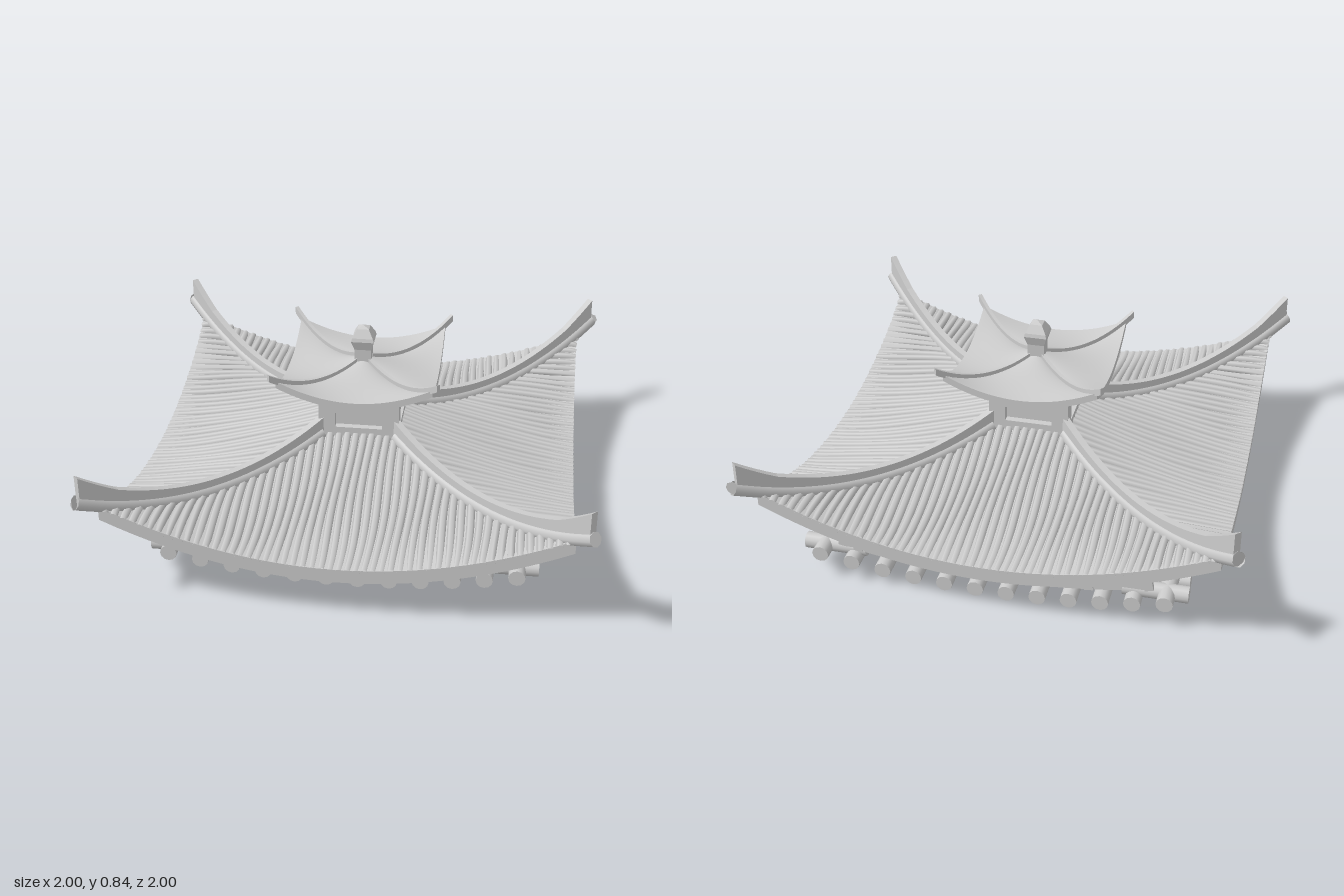
import * as THREE from 'three';

const grey = new THREE.MeshStandardMaterial({ color: 0xcccccc, side: THREE.DoubleSide });
const flat = new THREE.MeshStandardMaterial({ color: 0xcccccc, flatShading: true });
const lerp = THREE.MathUtils.lerp;

function add(parent, name, geometry, material = grey) {
  const mesh = new THREE.Mesh(geometry, material);
  mesh.name = name;
  parent.add(mesh);
  return mesh;
}

// Surface from a rule fn(u, v), u and v in 0..1
function grid(nu, nv, fn) {
  const pos = [], idx = [];
  for (let j = 0; j <= nv; j++) for (let i = 0; i <= nu; i++) pos.push(...fn(i / nu, j / nv));
  for (let j = 0; j < nv; j++) for (let i = 0; i < nu; i++) {
    const a = j * (nu + 1) + i, c = a + nu + 1;
    idx.push(a, c, a + 1, a + 1, c, c + 1);
  }
  const g = new THREE.BufferGeometry();
  g.setAttribute('position', new THREE.Float32BufferAttribute(pos, 3));
  g.setIndex(idx);
  g.computeVertexNormals();
  return g;
}

// Shape between a lower and an upper curve
function bandShape(x0, x1, low, high, n = 28) {
  const pts = [];
  for (let i = 0; i <= n; i++) { const x = lerp(x0, x1, i / n); pts.push(new THREE.Vector2(x, low(x))); }
  for (let i = n; i >= 0; i--) { const x = lerp(x0, x1, i / n); pts.push(new THREE.Vector2(x, high(x))); }
  return new THREE.Shape(pts);
}

const extrude = (shape, depth) => new THREE.ExtrudeGeometry(shape, { depth, bevelEnabled: false });

// One quarter of a swept roof: top, eave board and vaulted underside (facing +z)
function roofSide(parent, r, name) {
  const y = (s, t) => r.mid(s) + (r.hip(s) - r.mid(s)) * t * t;
  add(parent, name + 'Top', grid(28, 14, (u, v) => {
    const s = lerp(r.inner, r.outer, v), t = 2 * u - 1;
    return [s * t, y(s, t), s];
  }));
  add(parent, name + 'EaveBoard', grid(28, 1, (u, v) => {
    const t = 2 * u - 1;
    return [r.outer * t, y(r.outer, t) - v * r.thick, r.outer];
  }));
  add(parent, name + 'Underside', grid(28, 10, (u, v) => {
    const s = lerp(r.outer, 0.02, v), x = s * (2 * u - 1);
    return [x, y(r.outer, x / r.outer) - r.thick, s];
  }));
  return y;
}

// Crest standing along one diagonal
function hipCrest(parent, name, s0, s1, low, high, width) {
  const q = Math.SQRT2;
  const g = extrude(bandShape(s0 * q, s1 * q, d => low(d / q), d => high(d / q)), width);
  g.translate(0, 0, -width / 2).rotateY(-Math.PI / 4);
  add(parent, name, g, flat);
}

const lower = {
  inner: 0.15, outer: 0.91, thick: 0.058,
  mid: s => 0.223 + 0.177 * Math.pow(Math.max(0, 0.91 - s) / 0.74, 1.5),
  hip: s => 0.31 + 0.73 * (s - 0.5) ** 2,
};
const upper = {
  inner: 0.02, outer: 0.32, thick: 0.03,
  mid: s => 0.634 + 0.05 * Math.pow(Math.max(0, 0.32 - s) / 0.27, 1.5),
  hip: s => 0.648 + 2.3 * (s - 0.15) ** 2,
};

function roofTiles(parent, y) {
  const count = 52;
  for (let i = 0; i < count; i++) {
    const x = 0.885 * (2 * i / (count - 1) - 1);
    const s0 = Math.max(0.16, Math.abs(x) + 0.005), pts = [];
    for (let k = 0; k <= 8; k++) {
      const s = lerp(s0, 0.91, k / 8);
      // slight hand-laid waviness, shared by neighbours
      const wobble = 0.005 * Math.sin(i * 0.5 + s * 9) * Math.min(1, (0.9 - Math.abs(x)) * 5);
      const sink = 0.002 - 0.012 * (k / 8) ** 3 + 0.002 * Math.sin(i * 2.4);
      pts.push(new THREE.Vector3(x + wobble, y(s, Math.min(1, Math.abs(x) / s)) + sink, s));
    }
    add(parent, 'roofTile', new THREE.TubeGeometry(new THREE.CatmullRomCurve3(pts), 10, 0.016, 6));
  }
}

function lowerHip(parent) {
  const top = s => 0.375 + 0.9 * (s - 0.5) ** 2 + 0.2 * Math.max(0, s - 0.85);
  hipCrest(parent, 'hipCrest', 0.15, 0.965, s => lower.hip(s) - 0.01, top, 0.03);
  // Round ridge log with capped end
  const pts = [];
  for (let i = 0; i <= 10; i++) {
    const s = lerp(0.16, 0.975, i / 10);
    pts.push(new THREE.Vector3(s, lower.hip(s) + 0.01, s));
  }
  add(parent, 'hipRidge', new THREE.TubeGeometry(new THREE.CatmullRomCurve3(pts), 24, 0.03, 8));
  const cap = add(parent, 'hipRidgeEnd', new THREE.CircleGeometry(0.03, 8));
  cap.position.copy(pts[10]);
  cap.lookAt(pts[10].clone().multiplyScalar(2).sub(pts[9]));
}

function eaveFrame(parent) {
  // Bowed beam with small blocks on its face
  const low = x => 0.075 + 0.065 * (x / 0.64) ** 2;
  const beam = extrude(bandShape(-0.64, 0.64, low, x => low(x) + 0.085, 16), 0.09);
  add(parent, 'eaveBeam', beam.translate(0, 0, 0.64), flat);
  for (let i = 0; i < 6; i++) {
    const x = -0.55 + 0.235 * i;
    const block = add(parent, 'beamBlock', new THREE.BoxGeometry(0.036, 0.08, 0.02), flat);
    block.position.set(x, low(x) + 0.042, 0.728);
    block.rotation.z = Math.atan(0.13 * x / 0.64 ** 2);
  }
  // Short log rafters rising toward the corners
  for (let i = 0; i < 12; i++) {
    const t = 2 * i / 11 - 1;
    const log = add(parent, 'rafterLog', new THREE.CylinderGeometry(0.034, 0.034, 0.26, 12));
    log.rotation.x = Math.PI / 2;
    log.position.set(0.7 * t, 0.035 + 0.085 * t * t, 0.625 + 0.03 * t * t);
  }
}

function towerWall(parent) {
  const rect = (w, y0, y1, Type) => new Type([[-w, y0], [w, y0], [w, y1], [-w, y1]].map(p => new THREE.Vector2(...p)));
  const wall = rect(0.17, 0.36, 0.63, THREE.Shape);
  wall.holes.push(rect(0.1, 0.44, 0.505, THREE.Path));
  add(parent, 'towerWall', extrude(wall, 0.03).translate(0, 0, 0.14), flat);
}

export function createModel() {
  const model = new THREE.Group();
  model.name = 'pavilionRoof';

  // The timber frame sits slightly toward the back
  const frame = new THREE.Group();
  frame.name = 'timberFrame';
  frame.position.z = -0.056;
  model.add(frame);

  // Everything that repeats on the four sides
  for (let k = 0; k < 4; k++) {
    const [side, frameSide] = [[model, 'roofQuarter'], [frame, 'frameQuarter']].map(([parent, name]) => {
      const group = new THREE.Group();
      group.name = name;
      group.rotation.y = k * Math.PI / 2;
      parent.add(group);
      return group;
    });
    roofTiles(side, roofSide(side, lower, 'lowerRoof'));
    lowerHip(side);
    towerWall(side);
    roofSide(side, upper, 'upperRoof');
    hipCrest(side, 'upperHipCrest', 0.03, 0.345, s => upper.hip(s) - 0.012, s => upper.hip(s) + 0.018, 0.016);
    eaveFrame(frameSide);
  }

  // Recessed core behind the tower openings
  add(model, 'towerCore', new THREE.BoxGeometry(0.25, 0.24, 0.25), flat).position.y = 0.5;

  // Ceiling planks
  for (let i = 0; i < 11; i++) {
    const plank = add(frame, 'ceilingPlank', new THREE.BoxGeometry(1.28, 0.02, 0.108), flat);
    plank.position.set(0, 0.15 + 0.006 * (i % 2), (i - 5) * 0.116);
  }

  // Square finial
  const profile = [[0, 0.65], [0.048, 0.65], [0.05, 0.74], [0.068, 0.78], [0.062, 0.795], [0.035, 0.83], [0, 0.84]];
  add(model, 'finial', new THREE.LatheGeometry(profile.map(p => new THREE.Vector2(...p)), 4, Math.PI / 4), flat);
  return model;
}
